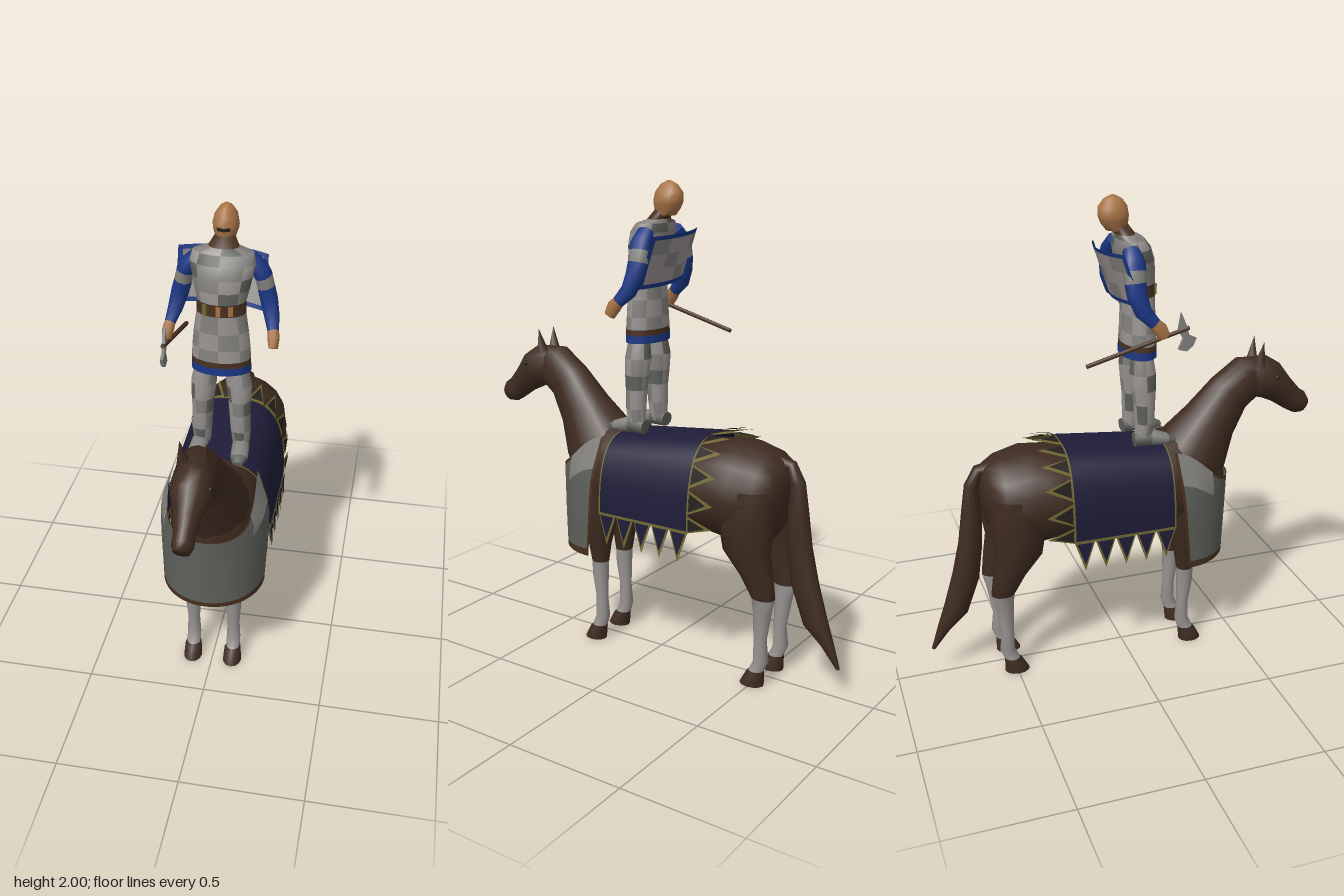
import * as THREE from 'three';
import { toCreasedNormals } from 'three/addons/utils/BufferGeometryUtils.js';
import { ParametricGeometry } from 'three/addons/geometries/ParametricGeometry.js';

const paint = (name, color) => {
  const m = new THREE.MeshStandardMaterial({ color, side: THREE.DoubleSide });
  m.name = name;
  return m;
};
const V = (x, y, z) => new THREE.Vector3(x, y, z);
const lerp = THREE.MathUtils.lerp;

export function createModel() {
  const model = new THREE.Group();
  const coat = paint('horse brown', 0x3e2b20), navy = paint('navy cloth', 0x1e1c38);
  const mail = paint('mail grey', 0x5f615b), worn = paint('worn grey', 0x83817d);
  const pale = paint('pale grey', 0x989391), blue = paint('blue cloth', 0x1b3784);
  const tan = paint('tan', 0xa87446), gold = paint('old gold', 0x6f6833);
  const leather = paint('leather', 0x48301f), dark = paint('dark', 0x24201d);

  const add = (name, geo, mat) => {
    const m = new THREE.Mesh(geo, mat);
    m.name = name;
    model.add(m);
    return m;
  };

  // Skin over elliptical sections [x, y, z, half width, half depth]; pick chooses a material per quad
  function loft(name, rows, mats, { axis, pick = () => 0, n = 12 } = {}) {
    const pos = [], idx = [], geo = new THREE.BufferGeometry();
    const c = rows.map(r => V(r[0], r[1], r[2]));
    rows.forEach((r, i) => {
      const T = axis ? axis.clone() : c[Math.min(i + 1, c.length - 1)].clone().sub(c[Math.max(i - 1, 0)]).normalize();
      const S = V(1, 0, 0).addScaledVector(T, -T.x).normalize(), U = T.clone().cross(S);
      for (let j = 0; j < n; j++) {
        const t = j / n * Math.PI * 2;
        pos.push(...c[i].clone().addScaledVector(S, r[3] * Math.cos(t)).addScaledVector(U, r[4] * Math.sin(t)));
      }
    });
    const last = rows.length - 1, base = rows.length * n;
    pos.push(...c[0], ...c[last]);
    const put = (m, ...f) => { geo.addGroup(idx.length, f.length, m); idx.push(...f); };
    for (let j = 0; j < n; j++) {
      const k = (j + 1) % n;
      put(pick(0, j), base, k, j);
      for (let i = 0; i < last; i++) {
        const a = i * n + j, b = i * n + k;
        put(pick(i, j), a, b, b + n, a, b + n, a + n);
      }
      put(pick(last - 1, j), base + 1, last * n + j, last * n + k);
    }
    geo.setAttribute('position', new THREE.Float32BufferAttribute(pos, 3));
    geo.setIndex(idx);
    return add(name, toCreasedNormals(geo, 1.1), mats);
  }

  // Part of a sheet described by fn(u, v)
  function patch(name, fn, [u0, u1, v0, v1], mat, nu = 16, nv = 8) {
    const geo = new ParametricGeometry((u, v, p) => p.copy(fn(lerp(u0, u1, u), lerp(v0, v1, v))), nu, nv);
    geo.computeVertexNormals();
    return add(name, geo, mat);
  }
  const triangle = (name, pts, mat) => {
    const g = new THREE.BufferGeometry().setFromPoints(pts);
    g.computeVertexNormals();
    add(name, g, mat);
  };

  // Horse trunk: z, top, bottom, half width
  const trunk = [[-.605, .9, .8, .05], [-.585, .945, .68, .125], [-.53, .975, .6, .185], [-.42, 1.003, .58, .21],
    [-.3, .99, .6, .21], [-.1, .955, .585, .2], [.1, .945, .56, .2], [.2, .995, .545, .19], [.3, .98, .54, .17],
    [.4, .92, .6, .13], [.45, .84, .68, .06]];
  loft('horseBody', trunk.map(([z, t, b, w]) => [0, (t + b) / 2, z, w, (t - b) / 2]), [coat],
    { axis: V(0, 0, 1), n: 18 });
  loft('horseNeck', [[0, .8, .25, .17, .19], [0, .9, .33, .145, .16], [0, 1.015, .4, .108, .12],
    [0, 1.13, .485, .08, .1], [0, 1.195, .57, .072, .098], [0, 1.21, .62, .055, .07]], [coat], { n: 16 });
  loft('horseHead', [[0, 1.225, .545, .05, .055], [0, 1.19, .61, .08, .097], [0, 1.165, .67, .08, .085],
    [0, 1.113, .73, .055, .064], [0, 1.065, .785, .043, .054], [0, 1.045, .818, .043, .052],
    [0, 1.03, .842, .032, .036]], [coat]);
  loft('horseTail', [[0, .93, -.555, .025, .03], [0, .925, -.61, .028, .025], [0, .86, -.64, .033, .03],
    [0, .75, -.645, .04, .042], [0, .6, -.658, .044, .05], [0, .45, -.685, .043, .058], [0, .3, -.735, .036, .054],
    [0, .22, -.79, .025, .028], [0, .12, -.843, .004, .008]], [coat], { n: 10 });

  for (const s of [-1, 1]) {
    const side = s > 0 ? 'left' : 'right';
    const mirror = rows => rows.map(([x, ...r]) => [x * s, ...r]);
    const down = V(0, -1, 0);

    // Horse legs with pale socks and brown hooves
    loft(side + 'HindLeg', mirror([[.1, .84, -.48, .09, .11], [.105, .7, -.475, .1, .12], [.105, .58, -.475, .08, .1],
      [.1, .48, -.52, .055, .07], [.095, .39, -.55, .04, .05], [.09, .33, -.545, .033, .04], [.085, .2, -.535, .026, .027],
      [.085, .11, -.54, .03, .032], [.085, .065, -.52, .03, .033], [.085, .055, -.515, .035, .038], [.085, 0, -.5, .04, .053]]),
      [coat, pale], { axis: down, pick: i => (i > 3 && i < 8 ? 1 : 0) });
    loft(side + 'FrontLeg', mirror([[.1, .78, .25, .08, .12], [.1, .6, .25, .075, .08], [.09, .45, .265, .05, .05],
      [.088, .37, .265, .036, .038], [.088, .3, .265, .034, .035], [.088, .2, .258, .026, .026], [.088, .11, .255, .03, .031],
      [.088, .065, .272, .03, .034], [.088, .055, .278, .036, .038], [.088, 0, .295, .04, .05]]),
      [coat, pale], { axis: down, pick: i => (i > 2 && i < 7 ? 1 : 0) });

    // Ears and eyes
    const ear = add(side + 'Ear', new THREE.ConeGeometry(.026, .1, 6), coat);
    ear.position.set(.045 * s, 1.305, .61);
    ear.rotation.set(.12, 0, -.1 * s);
    const eye = add(side + 'Eye', new THREE.SphereGeometry(.01, 8, 6), dark);
    eye.position.set(.073 * s, 1.2, .675);

    // Rider's legs, boots and arms
    loft(side + 'RiderLeg', mirror([[.055, 1.4, .07, .04, .042], [.063, 1.355, .07, .045, .046], [.071, 1.29, .07, .052, .055],
      [.075, 1.22, .073, .047, .051], [.076, 1.16, .075, .043, .046], [.08, 1.08, .075, .042, .042], [.08, 1.0, .07, .032, .036]]),
      [pale, worn, mail], { axis: down, pick: (i, j) => (i * 2 + (j >> 1)) % 5 === 1 ? 2 : (i + (j >> 1)) % 3 === 1 ? 1 : 0 });
    loft(side + 'Boot', mirror([[.08, 1.005, .03, .034, .03], [.085, 1.01, .1, .036, .035], [.09, .997, .17, .036, .022],
      [.09, .99, .205, .02, .01]]), [mail, worn], { pick: i => (i === 1 ? 1 : 0), n: 10 });
    loft(side + 'Arm', mirror([[.1, 1.805, .01, .03, .035], [.137, 1.765, .008, .035, .045], [.152, 1.735, .006, .035, .045],
      [.162, 1.69, .005, .035, .043], [.175, 1.64, .01, .035, .04], [.19, 1.58, .03, .03, .034], [.203, 1.535, .072, .022, .025],
      [.207, 1.515, .09, .024, .03], [.21, 1.48, .11, .018, .024]]),
      [blue, worn, tan], { pick: i => (i > 5 ? 2 : i === 2 ? 1 : 0), n: 10 });

    // Paler shoulder patches of the chest barding, then its rear edge
    const span = (a, b) => (s > 0 ? [1 - b, 1 - a] : [a, b]);
    patch(side + 'BardingShoulder', barding, [...span(.015, .2), .75, 1], worn, 6, 4);
    patch(side + 'BardingFlank', barding, [...span(.015, .2), .06, .75], mail, 6, 6);
    patch(side + 'BardingEdge', barding, [...span(0, .015), .06, 1], leather, 1, 8);

    // Pointed fringe along the lower edge of the blanket, filled on both faces
    for (let i = 0; i < 5; i++) {
      const z = .125 - i * .088, x = .222 * s;
      triangle('fringe', [V(x, .64, z + .042), V(x, .64, z - .042), V(x * 1.03, .515, z)], gold);
      for (const k of [-.004, .004]) {
        triangle('fringeFill', [V(x + k, .639, z + .034), V(x + k, .639, z - .034), V(x * 1.025 + k, .543, z)], navy);
      }
    }
  }

  // Curved chest barding, open at the back
  function barding(u, v) {
    const t = (u - .5) * Math.PI, z0 = lerp(.235, .175, v);
    const y = lerp(.435, .79 + .17 * Math.pow(Math.abs(Math.sin(t)), 5), v);
    const x = lerp(.215, .226, Math.min(1, v * 2)) * Math.sin(t) * (1 - Math.max(0, y - .8) * 1.5);
    return V(x, y, z0 + (lerp(.455, .472, v) - z0) * Math.cos(t));
  }
  patch('chestBarding', barding, [.2, .8, .06, .97], mail, 20, 8);
  patch('bardingCollar', barding, [.2, .8, .97, 1], leather, 20, 1);
  patch('bardingHem', barding, [0, 1, 0, .06], leather, 28, 1);

  // Saddle blanket: u runs across the back, v from front to rear
  const half = new THREE.CatmullRomCurve3([V(0, .985, 0), V(.1, .975, 0), V(.165, .925, 0), V(.205, .83, 0),
    V(.22, .72, 0), V(.222, .64, 0)]);
  const blanket = (u, v) => {
    const s = u * 2 - 1, p = half.getPoint(Math.min(1, Math.abs(s)));
    return V(p.x * Math.sign(s), .64 + (p.y - .64) * lerp(.94, 1.07, v), lerp(.17, -.27, v));
  };
  patch('saddleBlanket', blanket, [.012, .988, .015, .985], navy, 28, 8);
  patch('blanketFrontTrim', blanket, [0, 1, 0, .015], gold, 28, 1);
  patch('blanketRearTrim', blanket, [0, 1, .985, 1], gold, 28, 1);
  patch('blanketLeftTrim', blanket, [.988, 1, .015, .985], gold, 1, 8);
  patch('blanketRightTrim', blanket, [0, .012, .015, .985], gold, 1, 8);

  // Pointed fringe behind the blanket
  const flare = (u, v, k) => {
    const p = blanket(u, v);
    return V(p.x * k, .7 + (p.y - .7) * k, p.z);
  };
  for (let i = 0; i < 11; i++) {
    const u = (i + .5) / 11;
    triangle('rearFringe', [flare(u - .041, 1, 1), flare(u + .041, 1, 1), flare(u, 1.26, 1.02)], gold);
    triangle('rearFringeFill', [flare(u - .031, 1.01, 1.022), flare(u + .031, 1.01, 1.022), flare(u, 1.19, 1.036)], dark);
  }

  // Rider's tunic: y, z, half width, half depth, with hem bands, belt and collar
  const tunic = [[1.355, .07, .12, .074], [1.387, .07, .119, .073], [1.41, .07, .118, .072], [1.46, .07, .115, .069],
    [1.53, .07, .108, .067], [1.605, .07, .097, .066], [1.655, .066, .097, .07], [1.7, .06, .108, .074],
    [1.75, .053, .118, .077], [1.8, .042, .128, .071], [1.835, .03, .118, .056], [1.85, .015, .06, .04], [1.89, -.01, .035, .035]];
  const bands = { 0: 3, 1: 4, 5: 4, 11: 4 };
  const weave = (i, j) => {
    const k = (i * 3 + (j >> 1)) % 4;
    return i > 5 ? [2, 1, 1, 0][k] : [0, 1, 0, 1][k];
  };
  loft('tunic', tunic.map(([y, z, a, b]) => [0, y, z, a, b]), [pale, worn, mail, blue, leather],
    { axis: V(0, 1, 0), n: 16, pick: (i, j) => bands[i] ?? weave(i, j) });
  for (const x of [-.055, 0, .045]) {
    const stud = add('beltPlate', new THREE.BoxGeometry(.018, .04, .008), x < 0 ? gold : tan);
    stud.position.set(x, 1.63, x ? .126 : .138);
    stud.rotation.y = x * 9;
  }

  // Pointed helmet with a dark eye slit
  const head = [[1.865, -.018, .036, .042], [1.89, -.025, .044, .054], [1.908, -.028, .05, .06], [1.922, -.03, .052, .063],
    [1.955, -.033, .045, .06], [1.985, -.033, .026, .038], [2, -.033, .006, .008]];
  loft('helmet', head.map(([y, z, a, b]) => [0, y, z, a, b]), [tan, dark],
    { axis: V(0, 1, 0), pick: (i, j) => (i === 2 && (j === 8 || j === 9) ? 1 : 0) });

  // Curved shield on the back with a blue rim
  const shield = (u, v) => {
    const x = lerp(-.19, .16, u), y = lerp(1.59, 1.8, v);
    return V(x, y - .05 * x, -.03 - (y - 1.59) * .34 + 1.5 * x * x);
  };
  patch('shieldRimTop', shield, [0, 1, .92, 1], blue, 12, 1);
  patch('shieldRimBottom', shield, [0, 1, 0, .08], blue, 12, 1);
  patch('shieldRimRight', shield, [0, .05, .08, .92], blue, 1, 4);
  patch('shieldRimLeft', shield, [.95, 1, .08, .92], blue, 1, 4);
  for (let i = 0; i < 4; i++) for (let j = 0; j < 3; j++) {
    const u = .05 + i * .225, v = .08 + j * .28;
    patch('shieldFace', shield, [u, u + .225, v, v + .28], (i + j * 2) % 3 === 1 ? worn : pale, 3, 2);
  }

  // Axe in the right hand
  const a = V(-.2, 1.505, .215), b = V(-.2, 1.39, -.205), dir = a.clone().sub(b);
  const handle = add('axeHandle', new THREE.CylinderGeometry(.009, .009, dir.length(), 8), leather);
  handle.position.copy(a).add(b).multiplyScalar(.5);
  handle.quaternion.setFromUnitVectors(V(0, 1, 0), dir.clone().normalize());
  const outline = [[.18, 1.57], [.168, 1.5], [.19, 1.465], [.17, 1.42], [.205, 1.41], [.232, 1.43], [.245, 1.462],
    [.215, 1.475], [.205, 1.51]].map(p => new THREE.Vector2(...p));
  const blade = new THREE.ExtrudeGeometry(new THREE.Shape(outline), { depth: .012, bevelEnabled: false });
  add('axeBlade', blade.rotateY(-Math.PI / 2), worn).position.x = -.194;
  return model;
}
